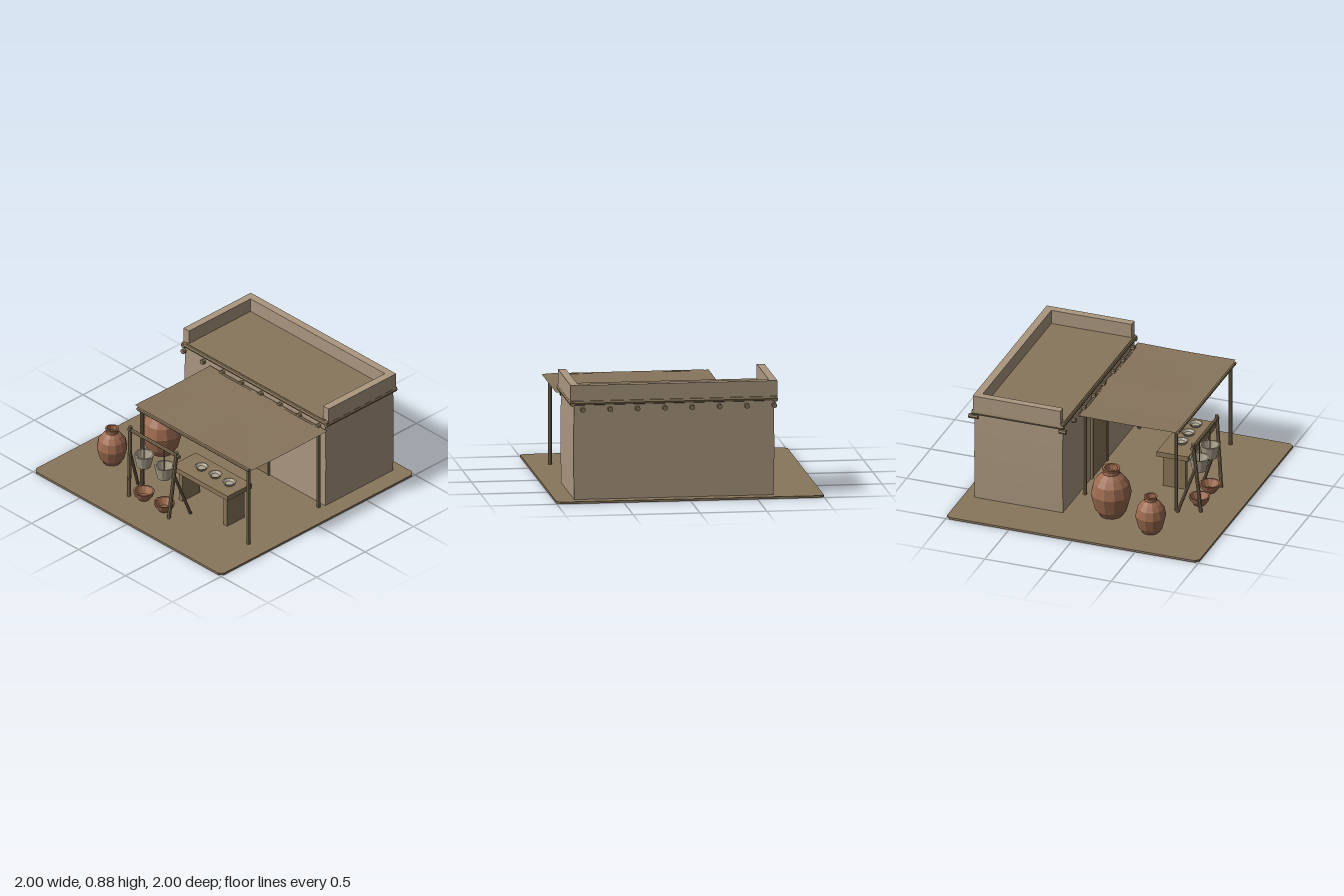
import * as THREE from 'three';

export function createModel() {
  const model = new THREE.Group();
  model.name = 'marketHouse';
  const mat = (name, color, side = THREE.FrontSide) => {
    const m = new THREE.MeshStandardMaterial({ color, side });
    m.name = name;
    return m;
  };
  const earth = mat('earth', 0x89765c);
  const plaster = mat('plaster', 0xab9780);
  const wood = mat('wood', 0x887558);
  const cloth = mat('cloth', 0x87745c, THREE.DoubleSide);
  const clay = mat('clay', 0x9c6a4f);
  const pale = mat('paleClay', 0xaea48f);

  // Helpers: flat shaded mesh, box from bounds, pole between two points, lathe
  const add = (name, geo, material, parent = model) => {
    const g = geo.index ? geo.toNonIndexed() : geo;
    g.computeVertexNormals();
    const mesh = new THREE.Mesh(g, material);
    mesh.name = name;
    parent.add(mesh);
    return mesh;
  };
  const box = (name, x0, x1, y0, y1, z0, z1, material) => {
    const g = new THREE.BoxGeometry(x1 - x0, y1 - y0, z1 - z0);
    g.translate((x0 + x1) / 2, (y0 + y1) / 2, (z0 + z1) / 2);
    return add(name, g, material);
  };
  const pole = (name, a, b, r, material = wood, sides = 8) => {
    const p = new THREE.Vector3(...a), q = new THREE.Vector3(...b);
    const g = new THREE.CylinderGeometry(r, r, p.distanceTo(q), sides);
    const mesh = add(name, g, material);
    mesh.position.copy(p).add(q).multiplyScalar(0.5);
    mesh.quaternion.setFromUnitVectors(new THREE.Vector3(0, 1, 0), q.sub(p).normalize());
    return mesh;
  };
  const lathe = (name, profile, sides, x, y, z, material, s = 1) => {
    const g = new THREE.LatheGeometry(profile.map(([r, h]) => new THREE.Vector2(r * s, h * s)), sides);
    add(name, g, material).position.set(x, y, z);
  };

  // Ground slab with clipped corners
  const c = 0.97;
  const slab = new THREE.Shape([[-1, -c], [-c, -1], [c, -1], [1, -c], [1, c], [c, 1], [-c, 1], [-1, c]]
    .map(([x, y]) => new THREE.Vector2(x, y)));
  const ground = new THREE.ExtrudeGeometry(slab, { depth: 0.016, bevelEnabled: false });
  ground.rotateX(-Math.PI / 2);
  add('ground', ground, earth);

  // House walls, gently bulging by hand-made unevenness
  const walls = new THREE.BoxGeometry(1.49, 0.73, 0.7, 1, 4, 1);
  const wp = walls.attributes.position;
  for (let i = 0; i < wp.count; i++) {
    const k = 1 + 0.008 * Math.sin((wp.getY(i) / 0.73 + 0.5) * Math.PI);
    wp.setX(i, wp.getX(i) * k);
  }
  walls.translate(0.113, 0.38, -0.562);
  add('walls', walls, plaster);
  box('roof', -0.62, 0.85, 0.73, 0.765, -0.88, -0.212, earth);

  // Parapet on the back and both sides, open to the front
  box('parapetBack', -0.655, 0.885, 0.745, 0.875, -0.917, -0.858, plaster);
  for (const [x0, x1] of [[-0.66, -0.602], [0.825, 0.885]]) {
    box('parapetSide', x0, x1, 0.745, 0.875, -0.912, -0.222, plaster);
  }

  // Wall plate poles around the top of the walls
  for (const x of [-0.645, 0.872]) pole('sidePlate', [x, 0.736, -0.925], [x, 0.736, -0.2], 0.02);
  for (const z of [-0.907, -0.218]) pole('longPlate', [-0.66, 0.742, z], [0.885, 0.742, z], 0.02);

  // Roof beam ends through front and back walls
  for (let i = 0; i < 8; i++) {
    const x = -0.635 + i * 0.2045;
    pole('beamFront', [x, 0.694, -0.24], [x, 0.694, -0.185], 0.019);
    pole('beamBack', [x, 0.694, -0.955], [x, 0.694, -0.88], 0.019);
  }

  // Doorway with jambs and lintel
  box('door', -0.04, 0.26, 0.016, 0.58, -0.212, -0.205, wood);
  for (const x of [-0.045, 0.262]) box('doorJamb', x - 0.008, x + 0.008, 0.016, 0.58, -0.215, -0.195, wood);
  box('lintel', -0.08, 0.3, 0.575, 0.617, -0.22, -0.19, wood);

  // Awning cloth with a shallow sag, on four posts
  const sheet = new THREE.PlaneGeometry(1.25, 0.775, 6, 4);
  sheet.rotateX(-Math.PI / 2);
  const sp = sheet.attributes.position;
  for (let i = 0; i < sp.count; i++) {
    sp.setY(i, 0.004 * Math.cos(sp.getX(i) * 9) - 0.004 * Math.cos(sp.getZ(i) * 4));
  }
  sheet.translate(0.27, 0.692, 0.187);
  add('awning', sheet, cloth);
  for (const z of [0.58, -0.195]) pole('awningRail', [-0.32, 0.682, z], [0.865, 0.682, z], 0.014);
  for (const x of [-0.295, 0.835]) {
    for (const z of [0.557, -0.165]) pole('awningPost', [x, 0.01, z], [x, 0.685, z], 0.015);
  }

  // Hanging rack: splayed legs with a crossbar
  pole('rackBar', [-0.31, 0.556, 0.685], [0.235, 0.556, 0.685], 0.014);
  for (const s of [-1, 1]) {
    const x = (d) => -0.04 + s * d;
    pole('rackFrontLeg', [x(0.212), 0.01, 0.737], [x(0.247), 0.59, 0.688], 0.015);
    pole('rackBackLeg', [x(0.28), 0.01, 0.575], [x(0.235), 0.39, 0.705], 0.012);
  }

  // Hanging buckets on ropes, with catching bowls beneath
  const bucket = [[0, 0], [0.052, 0], [0.076, 0.105], [0.064, 0.105], [0.045, 0.02], [0, 0.02]];
  const bowl = [[0, 0], [0.042, 0], [0.068, 0.032], [0.081, 0.07], [0.069, 0.07], [0.04, 0.018], [0, 0.018]];
  for (const x of [-0.145, 0.072]) {
    lathe('bucket', bucket, 12, x, 0.305, 0.685, pale);
    pole('rope', [x, 0.32, 0.685], [x, 0.556, 0.685], 0.005, wood, 6);
    lathe('groundBowl', bowl, 12, x, 0.018, 0.685, clay);
  }

  // Bench with slab legs and three dishes
  box('benchTop', 0, 0.595, 0.272, 0.312, 0.29, 0.54, wood);
  for (const x of [0.06, 0.535]) box('benchLeg', x - 0.02, x + 0.02, 0.014, 0.272, 0.325, 0.505, wood);
  const dish = [[0, 0], [0.036, 0], [0.054, 0.024], [0.045, 0.024], [0.03, 0.01], [0, 0.01]];
  for (const x of [0.19, 0.336, 0.485]) lathe('dish', dish, 10, x, 0.313, 0.415, pale);

  // Large and small storage jars
  const jar = [[0, 0], [0.085, 0], [0.122, 0.055], [0.154, 0.18], [0.135, 0.265], [0.098, 0.315],
    [0.062, 0.345], [0.06, 0.365], [0.069, 0.392], [0.05, 0.392], [0.045, 0.345], [0, 0.33]];
  lathe('largeJar', jar, 12, -0.525, 0.016, 0.13, clay);
  lathe('smallJar', jar, 12, -0.675, 0.016, 0.5, clay, 0.755);

  return model;
}
